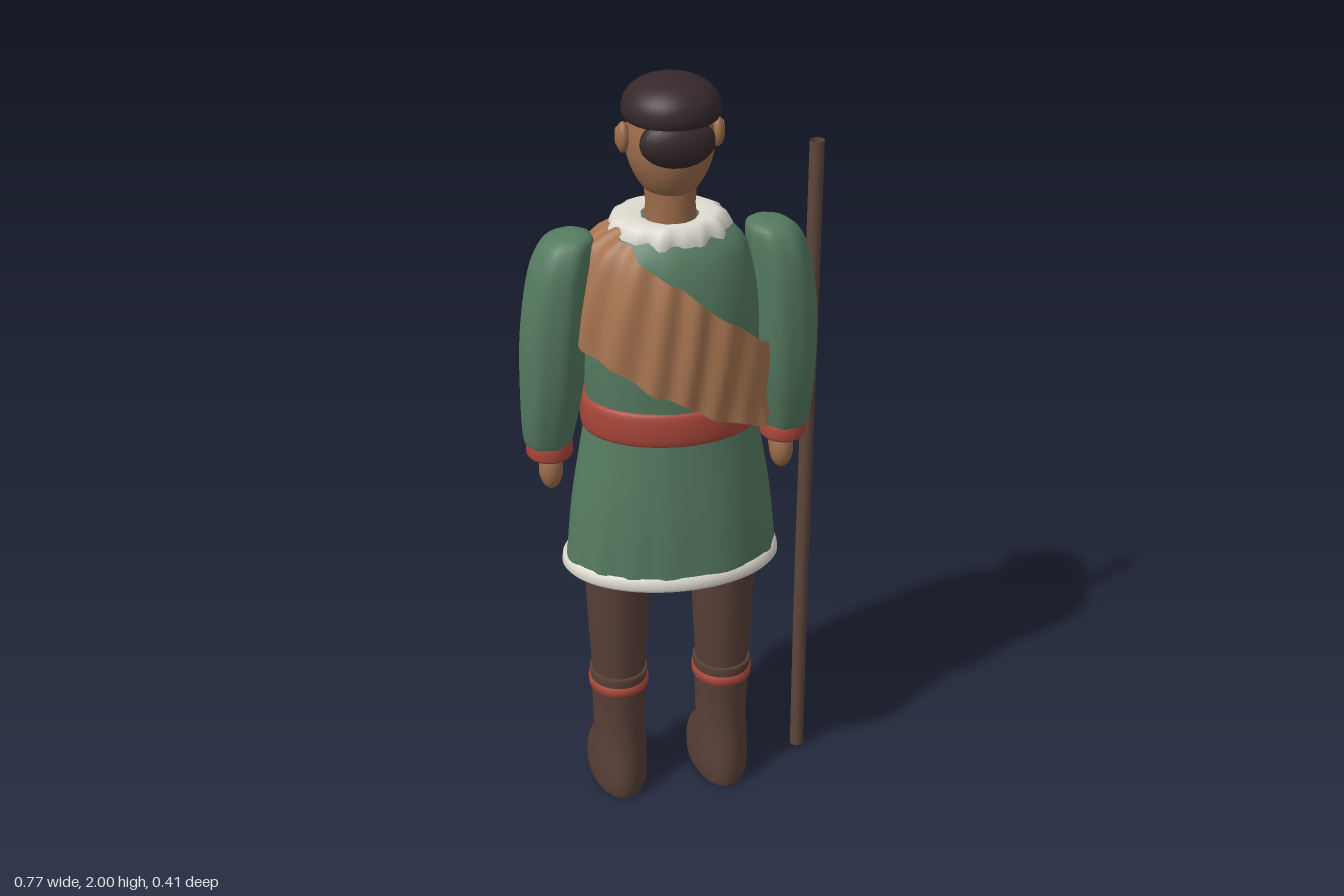
import * as THREE from 'three';

const mat = (name, color, side = THREE.FrontSide) => {
  const m = new THREE.MeshStandardMaterial({ color, side });
  m.name = name;
  return m;
};

// Closed surface through horizontal elliptical rings [y, cx, cz, rx, rz], listed upwards.
// Repeating a row makes a crease; fold(angle, y) scales the radius.
function loft(rows, seg = 32, fold = () => 1) {
  const pos = [], idx = [];
  rows.forEach(([y, cx, cz, rx, rz], i) => {
    for (let j = 0; j < seg; j++) {
      const t = j / seg * Math.PI * 2, f = fold(t, y);
      pos.push(cx + Math.cos(t) * rx * f, y, cz + Math.sin(t) * rz * f);
      if (i === rows.length - 1) continue;
      const a = i * seg + j, b = i * seg + (j + 1) % seg;
      idx.push(a, a + seg, b, b, a + seg, b + seg);
    }
  });
  const g = new THREE.BufferGeometry();
  g.setAttribute('position', new THREE.Float32BufferAttribute(pos, 3));
  g.setIndex(idx);
  g.computeVertexNormals();
  return g;
}

// Smoothly resample a few key rings into n steps.
function smooth(rows, n) {
  const out = [];
  for (let s = 0; s <= n; s++) {
    const p = s / n * (rows.length - 1), i = Math.min(Math.floor(p), rows.length - 2), f = p - i;
    const at = k => rows[Math.max(0, Math.min(rows.length - 1, k))];
    out.push(rows[i].map((_, c) => {
      const [a, b, d, e] = [at(i - 1)[c], at(i)[c], at(i + 1)[c], at(i + 2)[c]];
      return b + 0.5 * f * (d - a + f * (2 * a - 5 * b + 4 * d - e + f * (3 * (b - d) + e - a)));
    }));
  }
  return out;
}

export function createModel() {
  const M = {
    green: mat('tunic green', 0x557a60, THREE.DoubleSide),
    sash: mat('sash tan', 0xa67450, THREE.DoubleSide),
    skin: mat('skin', 0x9a6b4a),
    hair: mat('hair', 0x36282a),
    brown: mat('leather brown', 0x573f36),
    staff: mat('staff wood', 0x5f463c, THREE.DoubleSide),
    red: mat('red trim', 0xa84639),
    white: mat('fur white', 0xdedbd0, THREE.DoubleSide),
    teal: mat('turquoise', 0x35aaa8),
    black: mat('eye dark', 0x1c1514),
  };
  const root = new THREE.Group();
  root.name = 'figure';
  const body = new THREE.Group();
  body.name = 'body';
  body.position.x = -0.012;
  root.add(body);
  const add = (name, geo, m, parent = body) => {
    const mesh = new THREE.Mesh(geo, m);
    mesh.name = name;
    parent.add(mesh);
    return mesh;
  };
  const ball = (name, m, x, y, z, sx, sy, sz, parent = body) => {
    const b = add(name, new THREE.SphereGeometry(1, 24, 16), m, parent);
    b.position.set(x, y, z);
    b.scale.set(sx, sy, sz);
    return b;
  };

  // Tunic: flared skirt, waist, chest and sloping shoulders
  const tunic = [
    [0.72, 0, 0, 0.272, 0.184], [0.9, 0, 0, 0.254, 0.178], [1.08, 0, 0, 0.224, 0.165],
    [1.16, 0, 0, 0.213, 0.16], [1.3, 0, 0, 0.222, 0.168], [1.44, 0, 0, 0.218, 0.165],
    [1.54, 0, 0, 0.198, 0.15], [1.6, 0, 0, 0.168, 0.124], [1.64, 0, 0, 0.095, 0.085], [1.65, 0, 0, 0.05, 0.05]];
  const tunicRows = smooth(tunic, 45);
  const skirtFold = (t, y) => 1 + 0.014 * Math.max(0.3, (1.2 - y) * 2) * Math.sin(13 * t + 2 * Math.sin(3 * t));
  add('tunic', loft(tunicRows, 72, skirtFold), M.green);
  add('tunicLining', loft([[0.715, 0, 0, 0.01, 0.01], [0.715, 0, 0, 0.27, 0.18]], 48), M.green);
  add('furHem', loft([[0.698, 0, 0, 0.262, 0.176], [0.699, 0, 0, 0.274, 0.186], [0.708, 0, 0, 0.282, 0.192],
    [0.727, 0, 0, 0.28, 0.191], [0.737, 0, 0, 0.27, 0.183]], 64), M.white);
  add('belt', loft(smooth([[1.1, 0, 0, 0.216, 0.16], [1.108, 0, 0, 0.225, 0.17], [1.145, 0, 0, 0.228, 0.174],
    [1.183, 0, 0, 0.224, 0.17], [1.192, 0, 0, 0.212, 0.158]], 12), 64), M.red);

  // Sash: pleated band following the tunic from one shoulder to the opposite hip
  const radii = y => {
    const k = Math.max(1, tunicRows.findIndex(r => r[0] >= y));
    const a = tunicRows[k - 1], b = tunicRows[k], f = (y - a[0]) / (b[0] - a[0]);
    return [a[3] + (b[3] - a[3]) * f, a[4] + (b[4] - a[4]) * f];
  };
  const band = loft(Array.from({ length: 13 }, (_, i) => [i / 12, 0, 0, 1, 1]), 108);
  const bp = band.attributes.position;
  for (let i = 0; i < bp.count; i++) {
    const c = bp.getX(i), s = bp.getZ(i), v = bp.getY(i), t = Math.atan2(s, c);
    const top = 1.515 - 0.168 * c - 0.043 * c * c, low = 1.22 - 0.135 * c + 0.005 * c * c;
    const y = low + (top - low) * v + 0.005 * Math.sin(9 * t);
    const [rx, rz] = radii(Math.min(y, 1.642));
    const d = 0.022 + 0.007 * Math.sin(17 * t + 3 * v + Math.sin(4 * t)) + 0.006 * (1 - v);
    bp.setXYZ(i, c * (rx + d), y, s * (rz + d));
  }
  band.computeVertexNormals();
  add('sash', band, M.sash);

  // Ragged fur collar
  const rag = (t, y) => 1 + (y < 1.64 ? 0.035 : 0.015) * (Math.sin(11 * t) + 0.7 * Math.sin(17 * t + 1));
  const collar = loft([[1.58, 0, -0.015, 0.148, 0.13], [1.615, 0, -0.015, 0.15, 0.136], [1.643, 0, -0.015, 0.138, 0.128],
    [1.655, 0, -0.012, 0.115, 0.108], [1.648, 0, -0.005, 0.07, 0.07]], 66, rag);
  const cp = collar.attributes.position;
  for (let j = 0; j < 66; j++) cp.setY(j, 1.578 + 0.016 * Math.sin(j * 1.9));
  collar.computeVertexNormals();
  add('furCollar', collar, M.white);

  // Necklace cord and bead
  const cord = new THREE.CatmullRomCurve3([[-0.06, 1.615, -0.135], [0, 1.555, -0.168], [0.05, 1.5, -0.175],
    [0.12, 1.42, -0.165], [0.172, 1.36, -0.135]].map(p => new THREE.Vector3(...p)));
  add('necklaceCord', new THREE.TubeGeometry(cord, 32, 0.01, 10), M.red);
  ball('necklaceBead', M.teal, 0.002, 1.558, -0.176, 0.021, 0.02, 0.018);

  // Head: the figure looks toward -z
  add('neck', loft([[1.6, 0, 0.005, 0.068, 0.07], [1.68, 0, 0.004, 0.06, 0.064], [1.78, 0, 0, 0.068, 0.07]], 28), M.skin);
  const head = new THREE.SphereGeometry(1, 48, 36);
  const hp = head.attributes.position;
  for (let i = 0; i < hp.count; i++) {
    const y = 1.835 + hp.getY(i) * 0.148;
    const jaw = y < 1.8 ? 1 - (1.8 - y) * 0.8 : 1;
    const x = hp.getX(i) * 0.106 * jaw;
    let z = hp.getZ(i) * 0.114 - 0.002;
    if (z < 0) {
      z -= 0.04 * Math.exp(-((x / 0.034) ** 2) - ((y - 1.828) / 0.036) ** 2);
      z -= 0.018 * Math.exp(-((x / 0.045) ** 2) - ((y - 1.745) / 0.04) ** 2);
    }
    hp.setXYZ(i, x, y, z);
  }
  head.computeVertexNormals();
  add('head', head, M.skin);
  add('hairCap', loft(smooth([[1.893, 0, 0.014, 0.09, 0.09], [1.9, 0, 0.014, 0.112, 0.114], [1.925, 0, 0.014, 0.118, 0.121],
    [1.955, 0, 0.014, 0.108, 0.112], [1.98, 0, 0.014, 0.08, 0.084], [1.995, 0, 0.014, 0.04, 0.042], [2, 0, 0.014, 0.001, 0.001]], 24), 40), M.hair);
  ball('hairBun', M.hair, 0, 1.86, 0.092, 0.09, 0.062, 0.046);

  for (const s of [-1, 1]) {
    const side = s > 0 ? 'left' : 'right';
    const at = x => s * x;

    // Ear, eye and brow
    ball(side + 'Ear', M.skin, at(0.113), 1.85, 0.004, 0.017, 0.038, 0.024);
    ball(side + 'EarHollow', M.skin, at(0.127), 1.852, 0, 0.005, 0.024, 0.013);
    const face = new THREE.Group();
    face.name = side + 'EyeSet';
    face.position.set(at(0.043), 1.868, -0.102);
    face.rotation.y = at(-0.42);
    body.add(face);
    ball('eyeWhite', M.white, 0, 0, 0, 0.019, 0.009, 0.004, face);
    ball('pupil', M.black, 0, 0, -0.003, 0.008, 0.008, 0.003, face);
    ball('eyelid', M.black, 0, 0.008, -0.001, 0.02, 0.003, 0.004, face);
    ball('brow', M.hair, 0, 0.024, 0.004, 0.025, 0.005, 0.005, face).rotation.z = at(-0.12);

    // Sleeve, cuff and hand
    const sleeve = smooth([[1.035, at(0.302), -0.042, 0.05, 0.054], [1.06, at(0.305), -0.04, 0.062, 0.065],
      [1.2, at(0.296), -0.018, 0.077, 0.082], [1.36, at(0.287), -0.006, 0.083, 0.092], [1.5, at(0.274), -0.002, 0.078, 0.092],
      [1.575, at(0.258), -0.002, 0.07, 0.08], [1.612, at(0.242), -0.002, 0.05, 0.054], [1.622, at(0.232), -0.002, 0.001, 0.001]], 28);
    add(side + 'Sleeve', loft(sleeve, 36, t => 1 + 0.022 * Math.sin(7 * t + s)), M.green);
    add(side + 'Cuff', loft([[1.005, at(0.302), -0.042, 0.03, 0.03], [1.006, at(0.302), -0.042, 0.054, 0.058],
      [1.014, at(0.302), -0.042, 0.059, 0.063], [1.042, at(0.302), -0.042, 0.059, 0.063],
      [1.053, at(0.302), -0.042, 0.053, 0.057]], 32), M.red);
    ball(side + 'Hand', M.skin, at(0.3), 0.965, -0.042, 0.031, 0.056, 0.036);
    ball(side + 'Thumb', M.skin, at(0.285), 0.972, -0.072, 0.013, 0.032, 0.014);

    // Trouser leg, boot and red garter
    const x = at(0.14);
    add(side + 'Trouser', loft([[0.34, x, -0.004, 0.068, 0.074], [0.5, x, -0.004, 0.078, 0.082], [0.74, x, -0.004, 0.088, 0.09]], 32,
      t => 1 + 0.012 * Math.sin(9 * t)), M.brown);
    add(side + 'Boot', loft([[0, x, -0.05, 0.001, 0.001], [0, x, -0.05, 0.07, 0.145], [0, x, -0.05, 0.07, 0.145],
      [0.015, x, -0.052, 0.078, 0.153], [0.05, x, -0.051, 0.08, 0.152], [0.08, x, -0.044, 0.078, 0.14],
      [0.11, x, -0.028, 0.075, 0.118], [0.14, x, -0.012, 0.072, 0.096], [0.18, x, -0.005, 0.068, 0.08],
      [0.26, x, -0.004, 0.07, 0.077], [0.35, x, -0.004, 0.075, 0.082], [0.368, x, -0.004, 0.078, 0.085],
      [0.374, x, -0.004, 0.074, 0.081], [0.372, x, -0.004, 0.06, 0.066]], 36), M.brown);
    add(side + 'Garter', loft([[0.317, x, -0.004, 0.07, 0.076], [0.323, x, -0.004, 0.079, 0.087],
      [0.343, x, -0.004, 0.08, 0.088], [0.349, x, -0.004, 0.07, 0.077]], 36), M.red);
  }

  // Walking staff with a slight bend
  const line = new THREE.CatmullRomCurve3([[0.361, 0.005, -0.064], [0.357, 0.6, -0.056], [0.36, 1.2, -0.058], [0.361, 1.788, -0.056]]
    .map(p => new THREE.Vector3(...p)));
  add('staff', new THREE.TubeGeometry(line, 24, 0.019, 12), M.staff, root);
  return root;
}
